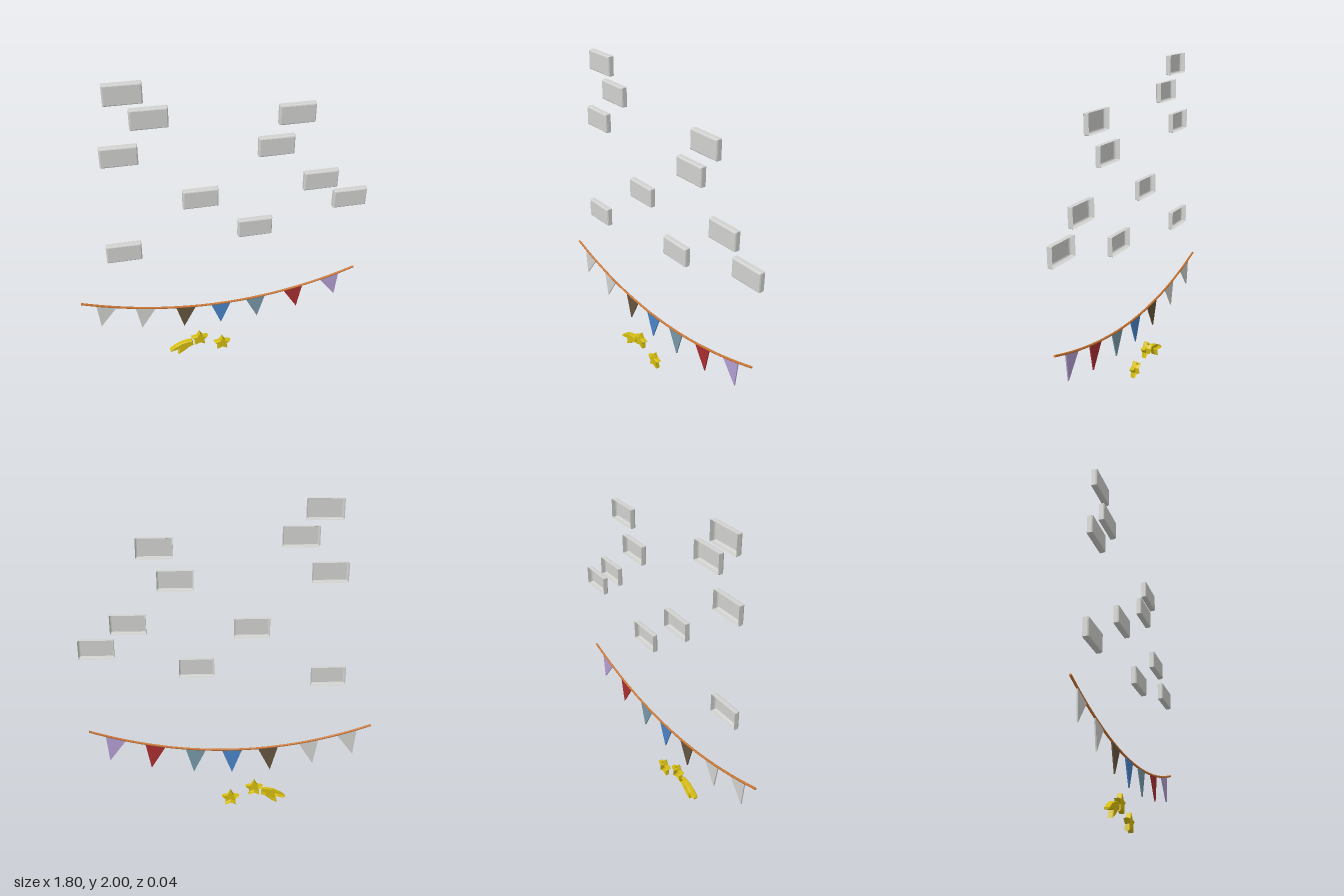
import * as THREE from 'three';

const mat = (name, color, side = THREE.FrontSide) => {
  const m = new THREE.MeshStandardMaterial({ color, side });
  m.name = name;
  return m;
};

// Open-backed shell: an outline (counter-clockwise) carried through [inset, z] levels, capped in front
function shell(outline, levels) {
  const n = outline.length;
  const normal = (p, q) => new THREE.Vector2(q.y - p.y, p.x - q.x).normalize();
  const miters = outline.map((p, i) => {
    const a = normal(outline[(i + n - 1) % n], p);
    const b = normal(p, outline[(i + 1) % n]);
    return a.clone().add(b).divideScalar(1 + a.dot(b));
  });
  const pos = [], index = [];
  for (const [inset, z] of levels) {
    outline.forEach((p, i) => pos.push(p.x - miters[i].x * inset, p.y - miters[i].y * inset, z));
  }
  for (let k = 0; k < levels.length - 1; k++) {
    for (let i = 0; i < n; i++) {
      const j = (i + 1) % n, a = k * n + i, b = k * n + j;
      index.push(a, b, b + n, a, b + n, a + n);
    }
  }
  const last = (levels.length - 1) * n;
  for (const [a, b, c] of THREE.ShapeUtils.triangulateShape(outline, [])) {
    index.push(last + a, last + b, last + c);
  }
  const g = new THREE.BufferGeometry();
  g.setAttribute('position', new THREE.Float32BufferAttribute(pos, 3));
  g.setIndex(index);
  const flat = g.toNonIndexed();
  flat.computeVertexNormals();
  return flat;
}

const vecs = (list) => list.map(([x, y]) => new THREE.Vector2(x, y));

export function createModel() {
  const model = new THREE.Group();
  const stone = mat('stone grey', 0xd2d2d0, THREE.DoubleSide);
  const gold = mat('gold', 0xd6bd10, THREE.DoubleSide);
  const cord = mat('cord orange', 0xd07832);
  const white = mat('pennant white', 0xd2d2d0);
  const brown = mat('pennant brown', 0x66553f);
  const blue = mat('pennant blue', 0x4a84c8);
  const slate = mat('pennant slate', 0x7898a8);
  const red = mat('pennant red', 0xa82e30);
  const purple = mat('pennant purple', 0xb49fd2);

  const add = (parent, name, geometry, material, x = 0, y = 0, z = 0) => {
    const m = new THREE.Mesh(geometry, material);
    m.name = name;
    m.position.set(x, y, z);
    parent.add(m);
    return m;
  };
  const group = (name) => {
    const g = new THREE.Group();
    g.name = name;
    model.add(g);
    return g;
  };

  // Scattered bricks, hollow from behind
  const bricks = group('bricks');
  const w = 0.106, h = 0.06, c = 0.003;
  const brickShape = shell(
    vecs([[-w + c, -h], [w - c, -h], [w, -h + c], [w, h - c], [w - c, h], [-w + c, h], [-w, h - c], [-w, -h + c]]),
    [[0, -0.018], [0, 0.008], [0.003, 0.015], [0.009, 0.018]]
  );
  [
    [-0.54, 1.94], [-0.41, 1.786], [-0.588, 1.574], [-0.137, 1.24], [-0.608, 0.917],
    [0.423, 1.728], [0.31, 1.537], [0.595, 1.273], [0.791, 1.12], [0.196, 0.987],
  ].forEach(([x, y], i) => add(bricks, `brick${i + 1}`, brickShape, stone, x, y));

  // Sagging cord
  const bunting = group('bunting');
  const sag = (x) => 0.407 + 0.155 * ((x + 0.013) / 0.89) ** 2;
  const path = [];
  for (let i = 0; i <= 16; i++) {
    const x = -0.903 + (1.78 * i) / 16;
    path.push(new THREE.Vector3(x, sag(x), 0.005));
  }
  const curve = new THREE.CatmullRomCurve3(path);
  add(bunting, 'cord', new THREE.TubeGeometry(curve, 48, 0.007, 8), cord);
  for (const t of [0, 1]) {
    const end = add(bunting, 'cordEnd', new THREE.CircleGeometry(0.007, 8), cord);
    end.position.copy(curve.getPointAt(t));
    const out = curve.getTangentAt(t).multiplyScalar(t ? 1 : -1);
    end.quaternion.setFromUnitVectors(new THREE.Vector3(0, 0, 1), out);
  }

  // Pennants hang square to the cord
  const flag = new THREE.ExtrudeGeometry(
    new THREE.Shape(vecs([[-0.063, -0.004], [0, -0.164], [0.063, -0.004]])),
    { depth: 0.008, bevelEnabled: false }
  );
  [
    [-0.751, white], [-0.508, white], [-0.249, brown], [-0.0185, blue],
    [0.212, slate], [0.466, red], [0.712, purple],
  ].forEach(([x, m], i) => {
    const p = add(bunting, `pennant${i + 1}`, flag, m, x, sag(x), 0.001);
    p.rotation.z = Math.atan((0.31 * (x + 0.013)) / 0.89 ** 2);
  });

  // Gold stars and a comet tail
  const ornaments = group('stars');
  const starPoints = [];
  for (let i = 0; i < 10; i++) {
    const r = i % 2 ? 0.031 : 0.0585;
    const a = Math.PI / 2 + (i * Math.PI) / 5;
    starPoints.push([r * Math.cos(a), r * Math.sin(a)]);
  }
  const levels = [[0, -0.012], [0, 0.013], [0.003, 0.018]];
  const star = shell(vecs(starPoints), levels);
  add(ornaments, 'upperStar', star, gold, -0.164, 0.119);
  add(ornaments, 'lowerStar', star, gold, -0.01, 0.0475);
  const tail = vecs([
    [-0.218, 0.113], [-0.248, 0.112], [-0.285, 0.104], [-0.33, 0.082], [-0.368, 0.053], [-0.366, 0.042],
    [-0.345, 0.045], [-0.322, 0.052], [-0.304, 0.052], [-0.308, 0.035], [-0.315, 0.008],
    [-0.29, 0.022], [-0.264, 0.04], [-0.243, 0.06], [-0.21, 0.075], [-0.212, 0.1],
  ]);
  add(ornaments, 'cometTail', shell(tail, levels), gold);

  return model;
}
